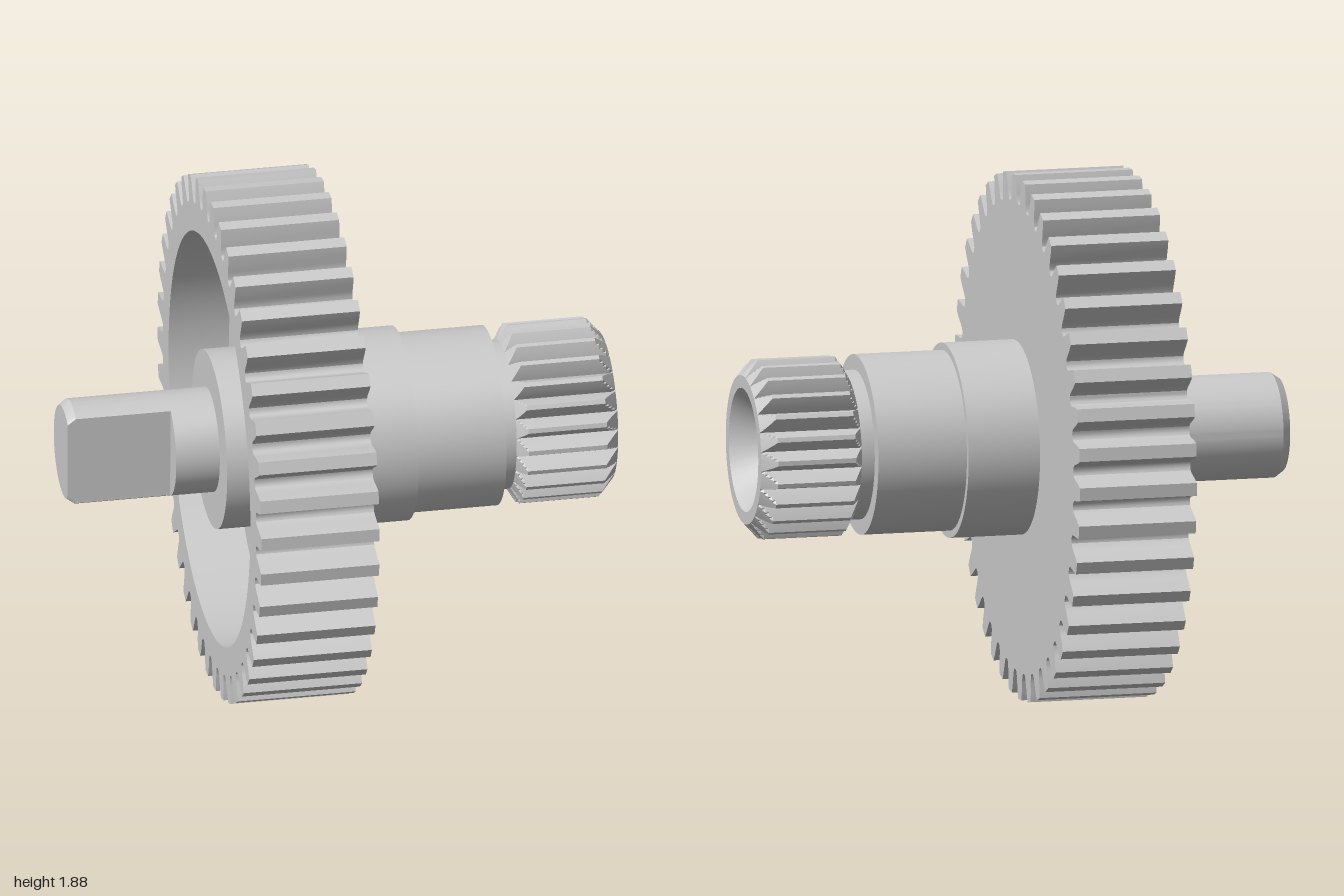
import * as THREE from 'three';
import { toCreasedNormals } from 'three/addons/utils/BufferGeometryUtils.js';

const steel = new THREE.MeshStandardMaterial({ color: 0xcacaca });
steel.name = 'steel grey';

const GEAR_R = 0.94, HALF = 0.213, WEB = 0.005;
const rad = THREE.MathUtils.degToRad;

function part(name, geometry, crease = 0.45) {
  const mesh = new THREE.Mesh(toCreasedNormals(geometry, crease), steel);
  mesh.name = name;
  return mesh;
}

// Turned part: profile of [radius, position along the axle], axle on +x
function turned(profile, segments) {
  const g = new THREE.LatheGeometry(profile.map(([r, s]) => new THREE.Vector2(r, s)), segments);
  return g.rotateZ(-Math.PI / 2);
}

// Spur gear ring, open in the middle, teeth with rounded roots
function gearRing() {
  const teeth = 42, pitch = (Math.PI * 2) / teeth, phase = rad(91.15);
  const half = [[0.45, 0.842], [0.38, 0.846], [0.325, 0.857], [0.285, 0.876], [0.235, 0.908], [0.165, GEAR_R]];
  const tooth = [...half.map(([a, r]) => [-a, r]), ...half.slice().reverse()];
  const pts = [];
  for (let i = 0; i < teeth; i++) {
    for (const [a, r] of tooth) {
      const t = phase + (i + a) * pitch;
      pts.push(new THREE.Vector2(r * Math.cos(t), r * Math.sin(t)));
    }
  }
  const shape = new THREE.Shape(pts);
  shape.holes.push(new THREE.Path().absarc(0, 0, 0.74, 0, Math.PI * 2, true));
  const g = new THREE.ExtrudeGeometry(shape, { depth: HALF * 2, bevelEnabled: false, curveSegments: 96 });
  return g.translate(0, 0, -HALF).rotateY(Math.PI / 2);
}

// Shaft end with one side cut flat
function flattedShaft() {
  const g = turned([[0, -0.741], [0.167, -0.741], [0.187, -0.712], [0.187, -0.37]], 120);
  const p = g.attributes.position;
  for (let i = 0; i < p.count; i++) p.setZ(i, Math.min(p.getZ(i), 0.081));
  return g;
}

// Splined head: V grooves cut into a chamfered cylinder
function spline() {
  const teeth = 24, root = 0.265, tip = 0.32;
  const profile = [];
  for (let i = 0; i <= 4; i++) profile.push([root + (tip - root) * i / 4, 0.842 + 0.033 * i / 4]);
  for (let i = 0; i <= 4; i++) profile.push([tip - (tip - root) * i / 4, 1.158 + 0.05 * i / 4]);
  profile.push([0.22, 1.208]);
  const g = turned(profile, teeth * 10);
  const p = g.attributes.position;
  for (let i = 0; i < p.count; i++) {
    const y = p.getY(i), z = p.getZ(i), r = Math.hypot(y, z);
    const u = Math.atan2(y, z) / (Math.PI * 2) * teeth;
    const off = Math.abs(u - Math.round(u)) * 2;          // 0 at tooth centre, 1 in the groove
    const limit = tip - (tip - root) * Math.max(0, (off - 0.2) / 0.8);
    const k = Math.min(r, limit) / r;
    p.setY(i, y * k);
    p.setZ(i, z * k);
  }
  return g;
}

// Countersunk, deep threaded blind hole
function bore() {
  const profile = [[0.22, 1.208], [0.135, 1.11]];
  for (let s = 1.09; s > 0.16; s -= 0.03) profile.push([0.152, s], [0.132, s - 0.015]);
  profile.push([0.132, 0.11], [0, 0.04]);
  return turned(profile, 48);
}

export function createModel() {
  const model = new THREE.Group();
  model.name = 'gearShaft';

  const axle = new THREE.Group();
  axle.name = 'gearAndAxle';
  axle.position.set(-0.236, GEAR_R + 0.002, -0.001);
  axle.rotation.set(0, rad(10.1), rad(-0.35));

  // Round shaft, hub, gear web, stepped collars and neck in one profile
  const body = turned([
    [0, -0.37], [0.187, -0.37], [0.187, -HALF],
    [0.32, -HALF], [0.32, WEB], [0.745, WEB], [0.745, HALF],
    [0.346, HALF], [0.346, 0.473], [0.32, 0.473], [0.32, 0.795],
    [0.265, 0.795], [0.265, 0.842],
  ], 96);

  axle.add(
    part('hubWebAndCollars', body),
    part('gearRing', gearRing(), 0.5),
    part('flattedShaft', flattedShaft()),
    part('splinedHead', spline(), 0.3),
    part('threadedBore', bore()),
  );
  model.add(axle);
  return model;
}
